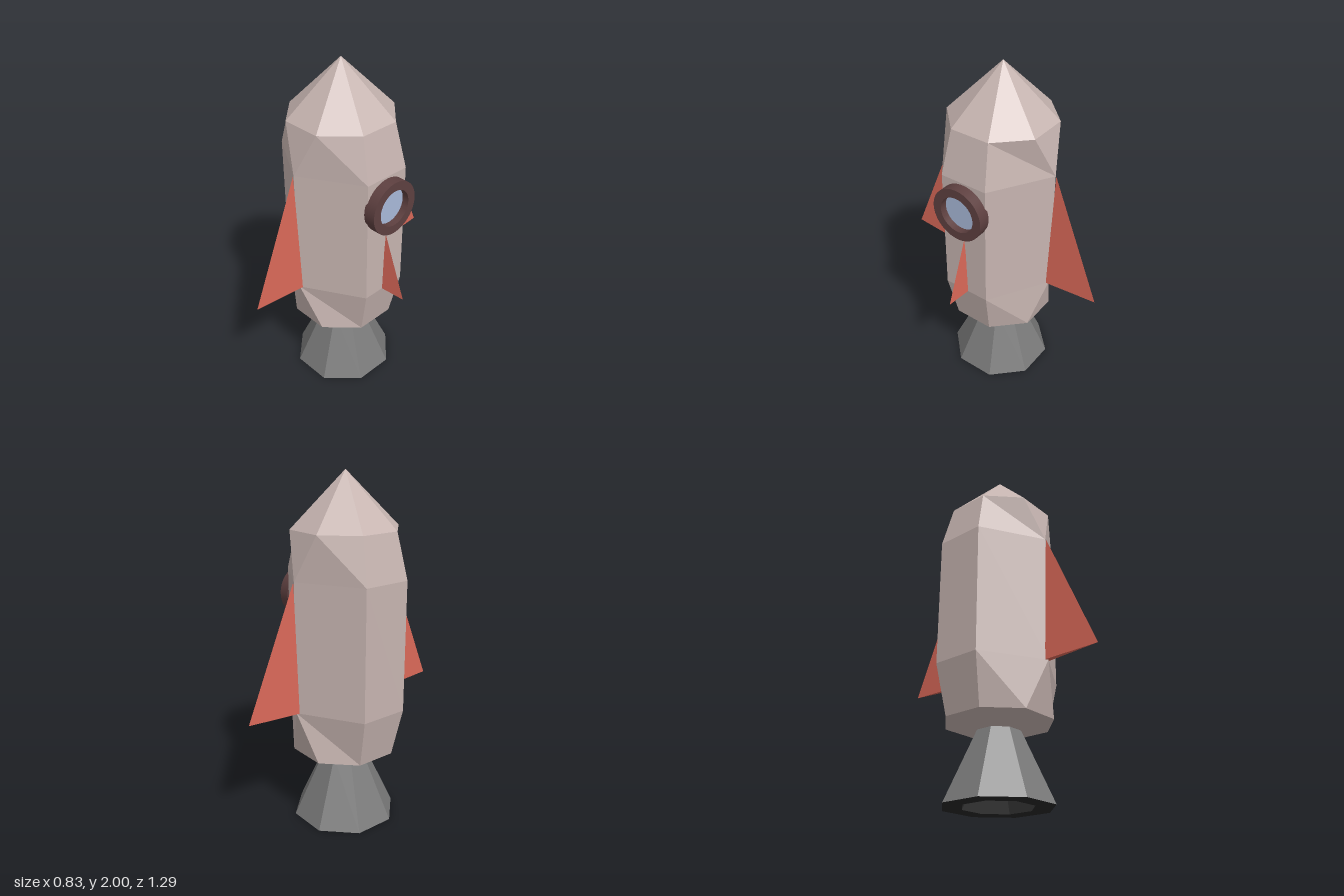
import * as THREE from 'three';
import { toCreasedNormals } from 'three/addons/utils/BufferGeometryUtils.js';

const material = (name, color) => {
  const m = new THREE.MeshStandardMaterial({ color });
  m.name = name;
  return m;
};

const AXIS_X = -0.08; // the hull axis sits slightly off centre, balancing the side fin

// Faceted geometry from a list of [a, b, c] corner triples
function facets(triangles) {
  const g = new THREE.BufferGeometry();
  g.setAttribute('position', new THREE.Float32BufferAttribute(triangles.flat(2), 3));
  g.computeVertexNormals();
  return g;
}

// Eight corners mirrored from two (x, z) points in one quadrant
function ring(y, x1, z1, x2, z2) {
  return [[x1, z1], [x2, z2], [-x2, z2], [-x1, z1], [-x1, -z1], [-x2, -z2], [x2, -z2], [x1, -z1]]
    .map(([x, z]) => [x, y, z]);
}
const octagon = (y, r) => ring(y, r, r * 0.414, r * 0.414, r);
const hexagon = (y) => ring(y, 0.34, 0.14, 0, 0.34);

// Skin between rings, skipping triangles that collapse to a line
function loft(rings) {
  const tris = [];
  const same = (p, q) => p.every((v, i) => Math.abs(v - q[i]) < 1e-6);
  const add = (a, b, c) => {
    if (!same(a, b) && !same(b, c) && !same(a, c)) tris.push([a, b, c]);
  };
  for (let k = 0; k + 1 < rings.length; k++) {
    for (let i = 0; i < 8; i++) {
      const j = (i + 1) % 8;
      const [a, b, c, d] = [rings[k][i], rings[k][j], rings[k + 1][j], rings[k + 1][i]];
      add(a, d, c);
      add(a, c, b);
    }
  }
  return facets(tris);
}

// Thin pointed fin reaching along +x: top corner, two root corners and a tip
function fin(topY, root, reach, halfWidth, tipY) {
  const top = [root + 0.004, topY, 0];
  const left = [root - 0.01, 0.715, -halfWidth];
  const right = [root - 0.01, 0.715, halfWidth];
  const tip = [reach, tipY, 0];
  return facets([[top, right, tip], [top, tip, left], [left, tip, right], [top, left, right]]);
}

export function createModel() {
  const hullPaint = material('hull paint', 0xc6b4b0);
  const finRed = material('fin red', 0xd96858);
  const nozzleGrey = material('nozzle grey', 0x7a7a7a);
  const rimBlack = material('nozzle rim black', 0x262626);
  const innerGrey = material('nozzle inner grey', 0x424242);
  const frameBrown = material('window frame brown', 0x5e4040);
  const glassBlue = material('window glass blue', 0xa9b9d9);

  const model = new THREE.Group();
  model.name = 'rocket';
  const add = (name, geometry, mat) => {
    const mesh = new THREE.Mesh(geometry, mat);
    mesh.name = name;
    mesh.position.x = AXIS_X;
    model.add(mesh);
    return mesh;
  };

  // Hull: octagonal ends blending into a hexagonal middle, with a pointed nose
  add('hull', loft([
    octagon(0.39, 0), octagon(0.39, 0.12), octagon(0.435, 0.28), hexagon(0.715),
    hexagon(1.45), octagon(1.7, 0.28), octagon(2, 0),
  ]), hullPaint);

  // Flared nozzle with a flat rim and a hollow inside
  add('nozzle', loft([octagon(0, 0.28), octagon(0.39, 0.115)]), nozzleGrey);
  add('nozzleRim', loft([octagon(0, 0.18), octagon(0, 0.28)]), rimBlack);
  add('nozzleInside', loft([octagon(0.15, 0), octagon(0.15, 0.11), octagon(0, 0.18)]), innerGrey);

  // Two large fins front and back, one small fin under the window
  for (const [name, side] of [['frontFin', -1], ['backFin', 1]]) {
    add(name, fin(1.45, 0.34, 0.645, 0.016, 0.727), finRed).rotation.y = side * Math.PI / 2;
  }
  add('sideFin', fin(1.09, 0.34, 0.49, 0.013, 0.715), finRed);

  // Round window: deep frame with the glass set back inside
  const outline = new THREE.Shape().absarc(0, 0, 0.155, 0, Math.PI * 2, false);
  outline.holes.push(new THREE.Path().absarc(0, 0, 0.105, 0, Math.PI * 2, true));
  const frame = new THREE.ExtrudeGeometry(outline, { depth: 0.07, bevelEnabled: false, curveSegments: 32 });
  const porthole = new THREE.Group();
  porthole.name = 'window';
  const frameMesh = new THREE.Mesh(toCreasedNormals(frame, 0.6), frameBrown);
  frameMesh.name = 'windowFrame';
  const glass = new THREE.Mesh(new THREE.CircleGeometry(0.107, 32), glassBlue);
  glass.name = 'windowGlass';
  glass.position.z = 0.03;
  porthole.add(frameMesh, glass);
  porthole.position.set(0.25, 1.285, 0);
  porthole.rotation.y = Math.PI / 2;
  model.add(porthole);

  return model;
}
